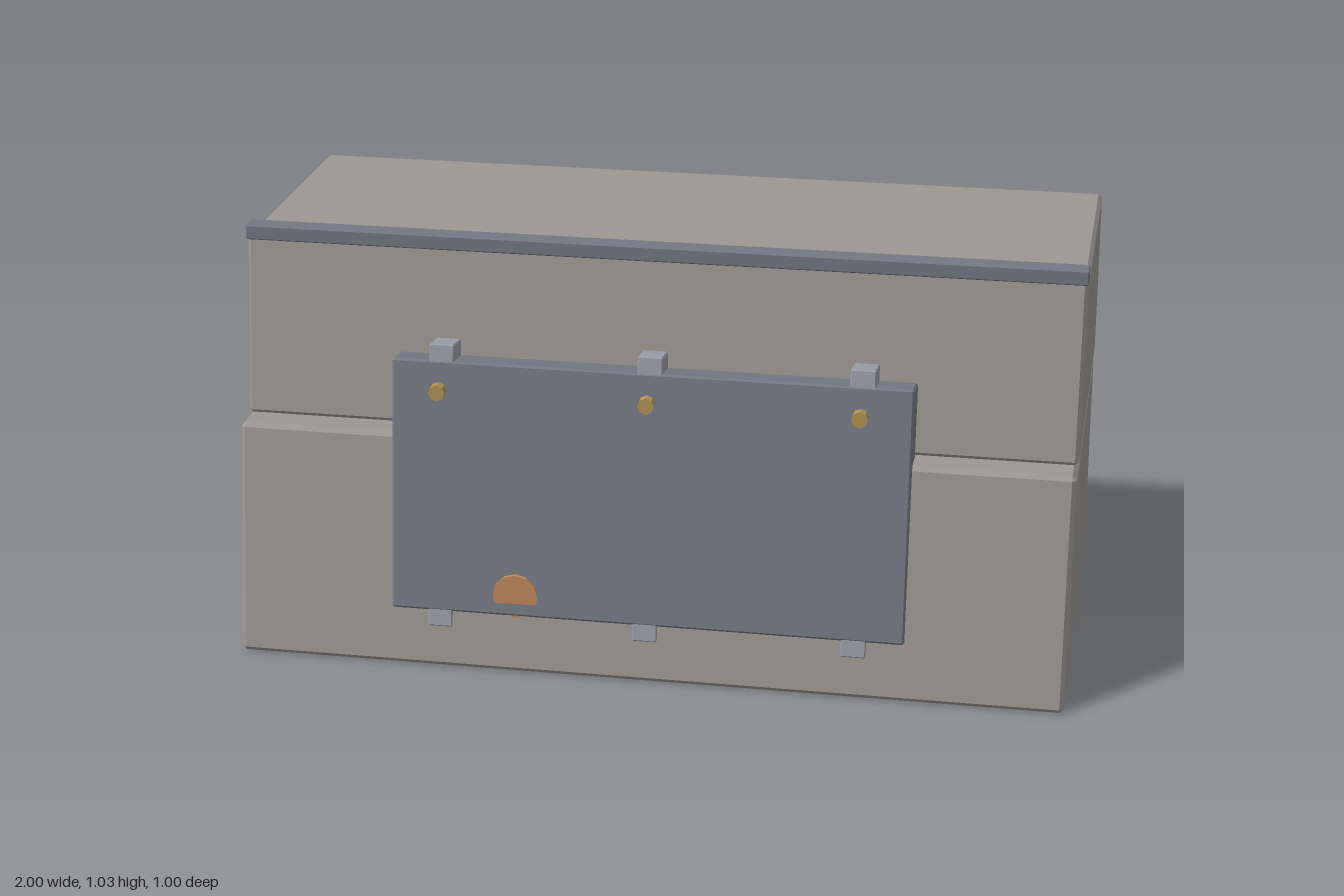
import * as THREE from 'three';
import { ConvexGeometry } from 'three/addons/geometries/ConvexGeometry.js';

const mat = (color) => new THREE.MeshStandardMaterial({ color, flatShading: true });
const stone = mat(0x9b9791);
const steel = mat(0x747883);
const clipSteel = mat(0x999da7);
const brass = mat(0xb09455);
const copper = mat(0xc28a5c);

// Chamfered block centred on the origin whose depth tapers from bottom to top.
function chamferedBlock(width, height, depthBottom, depthTop, c) {
  const points = [];
  const halfDepth = (y) => THREE.MathUtils.lerp(depthBottom, depthTop, y / height + 0.5) / 2;
  for (const sx of [-1, 1]) for (const sy of [-1, 1]) for (const sz of [-1, 1]) {
    // three points per corner, each lying on one of the faces
    for (const [ix, iy, iz] of [[0, c, c], [c, 0, c], [c, c, 0]]) {
      const y = sy * (height / 2 - iy);
      points.push(new THREE.Vector3(sx * (width / 2 - ix), y, sz * (halfDepth(y) - iz)));
    }
  }
  return new ConvexGeometry(points);
}

function add(parent, name, geometry, material, x, y, z) {
  const mesh = new THREE.Mesh(geometry, material);
  mesh.name = name;
  mesh.position.set(x, y, z);
  parent.add(mesh);
  return mesh;
}

export function createModel() {
  const model = new THREE.Group();
  model.name = 'steppedBarrier';

  // Two tapered blocks, the upper one set back from the front
  add(model, 'lowerBlock', chamferedBlock(2, 0.565, 1, 0.82, 0.011), stone, 0, 0.2825, 0);
  add(model, 'upperBlock', chamferedBlock(2, 0.435, 0.812, 0.686, 0.009), stone, 0, 0.7825, -0.0615);

  // Rail along the front top edge
  add(model, 'topRail', chamferedBlock(2, 0.036, 0.05, 0.05, 0.003), steel, 0, 1.008, 0.27);

  // Leaning plate with clips along its top and bottom edges
  const plate = new THREE.Group();
  plate.name = 'frontPlate';
  plate.position.set(0, 0.44, 0.402);
  plate.rotation.x = -0.137;
  model.add(plate);
  add(plate, 'plate', chamferedBlock(1.24, 0.616, 0.08, 0.08, 0.005), steel, 0, 0, 0);
  const clip = chamferedBlock(0.06, 0.08, 0.072, 0.072, 0.003);
  for (const x of [-0.5, 0, 0.5]) {
    add(plate, 'topClip', clip, clipSteel, x, 0.308, 0.002);
    add(plate, 'bottomClip', clip, clipSteel, x, -0.308, 0.002);
  }

  // Studs standing off the plate
  const stud = new THREE.CylinderGeometry(0.02, 0.02, 0.024, 8).rotateX(Math.PI / 2);
  for (const x of [-0.5, 0, 0.5]) add(model, 'stud', stud, brass, x, 0.69, 0.445);

  // Upright disc partly sunk into the plate
  const disc = new THREE.CylinderGeometry(0.055, 0.055, 0.012, 12).rotateX(Math.PI / 2);
  add(model, 'disc', disc, copper, -0.315, 0.19, 0.4735);

  return model;
}
